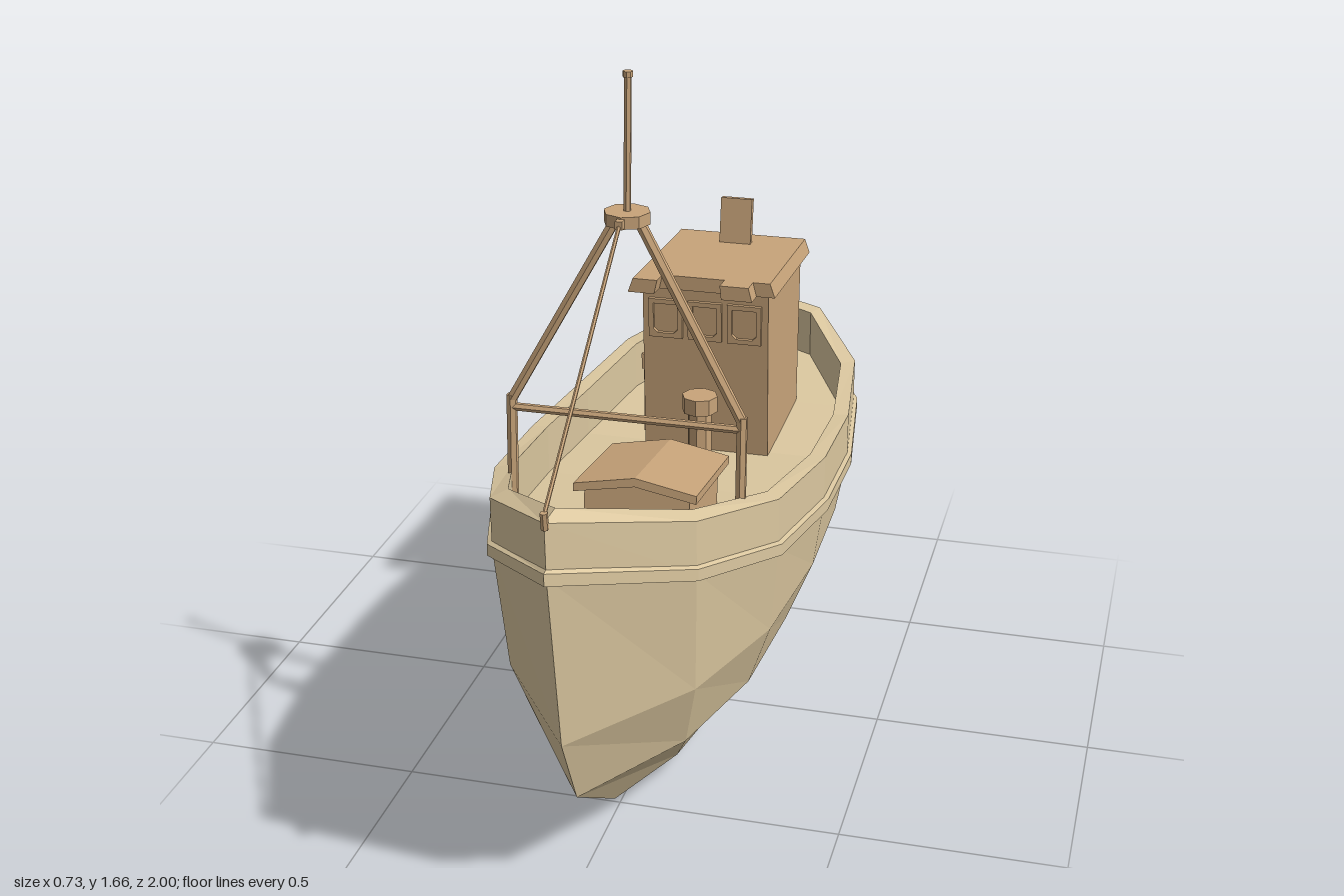
import * as THREE from 'three';

const mat = (color) => new THREE.MeshStandardMaterial({ color, flatShading: true });

// Stations from bow to stern: [z, half width as a share of the beam, sheer height]
const STATIONS = [
  [0.99, 0, 0.935], [0.68, 0.62, 0.82], [0.36, 0.91, 0.735], [0.0, 1, 0.68],
  [-0.33, 0.985, 0.65], [-0.66, 0.86, 0.66], [-0.93, 0.45, 0.695], [-1.0, 0, 0.705],
];

// Closed ring round the boat: bow, +x side, stern, -x side
function ring(beam, zBow, zStern, height) {
  const side = STATIONS.map(([z, w, sheer]) => {
    const t = (z + 1) / 1.99;
    return [beam * w, height(sheer, t), zStern + (zBow - zStern) * t];
  });
  const mirrored = side.slice(1, -1).reverse().map(([x, y, z]) => [-x, y, z]);
  return side.concat(mirrored);
}

// Skin consecutive rings with flat faces
function skin(rings) {
  const pos = [];
  for (let r = 0; r + 1 < rings.length; r++) {
    const A = rings[r], B = rings[r + 1];
    for (let i = 0; i < A.length; i++) {
      const j = (i + 1) % A.length;
      pos.push(...A[i], ...B[i], ...B[j], ...A[i], ...B[j], ...A[j]);
    }
  }
  const g = new THREE.BufferGeometry();
  g.setAttribute('position', new THREE.Float32BufferAttribute(pos, 3));
  g.computeVertexNormals();
  return g;
}

const shapeOf = (pts) => new THREE.Shape(pts.map(([x, y]) => new THREE.Vector2(x, y)));
const extrude = (shape, depth) => new THREE.ExtrudeGeometry(shape, { depth, bevelEnabled: false });

export function createModel() {
  const model = new THREE.Group();
  const paint = mat(0xdcc8a0);
  const wood = mat(0xc8a47a);

  const add = (name, geometry, material = wood, p = [0, 0, 0], parent = model) => {
    const m = new THREE.Mesh(geometry, material);
    m.name = name;
    m.position.set(...p);
    parent.add(m);
    return m;
  };
  // Straight round bar between two points
  const bar = (name, a, b, r, parent = model) => {
    const A = new THREE.Vector3(...a), B = new THREE.Vector3(...b), d = B.clone().sub(A);
    const m = add(name, new THREE.CylinderGeometry(r, r, d.length(), 6), wood, [0, 0, 0], parent);
    m.position.copy(A).add(B).multiplyScalar(0.5);
    m.quaternion.setFromUnitVectors(new THREE.Vector3(0, 1, 0), d.normalize());
    return m;
  };

  // Hull: inner bulwark, cap, outer side, then down to the keel
  const lerp = THREE.MathUtils.lerp;
  const deckY = (s) => s - 0.12;
  const inner = ring(0.318, 0.92, -0.95, (s) => s);
  const deckEdge = ring(0.318, 0.92, -0.95, deckY);
  add('hull', skin([
    deckEdge,
    inner,
    ring(0.355, 0.99, -1, (s) => s),
    ring(0.355, 0.985, -0.995, (s) => s - 0.12),
    ring(0.332, 0.915, -0.93, () => 0.4),
    ring(0.272, 0.82, -0.83, (s, t) => lerp(0.285, 0.22, t)),
    ring(0.155, 0.54, -0.62, (s, t) => lerp(0.17, 0.04, t)),
    ring(0, 0.26, -0.35, (s, t) => lerp(0.07, 0.005, t)),
  ]), paint);
  add('deck', skin([ring(0, 0.92, -0.95, deckY), deckEdge]), paint);

  // Rubbing strake
  add('rubRail', skin([
    ring(0.35, 0.98, -0.99, (s) => s - 0.1),
    ring(0.366, 1, -1, (s) => s - 0.103),
    ring(0.366, 1, -1, (s) => s - 0.13),
    ring(0.35, 0.98, -0.99, (s) => s - 0.133),
  ]), paint);

  // Wheelhouse walls: side profile (z, y) extruded across
  const house = new THREE.Group();
  house.name = 'wheelhouse';
  model.add(house);
  const walls = extrude(shapeOf([[-0.645, 0.52], [-0.295, 0.52], [-0.275, 0.965], [-0.66, 0.945]]), 0.312);
  walls.rotateY(-Math.PI / 2).translate(0.156, 0, 0);
  add('wheelhouseWalls', walls, wood, [0, 0, 0], house);

  // Roof with notched front edge (x, -z), tapered towards its top and rising forward
  const roof = extrude(shapeOf([
    [-0.175, 0.21], [-0.11, 0.21], [-0.11, 0.26], [0.055, 0.26], [0.055, 0.21],
    [0.13, 0.21], [0.13, 0.26], [0.175, 0.26], [0.175, 0.68], [-0.175, 0.68],
  ]), 0.035);
  roof.rotateX(-Math.PI / 2);
  const rp = roof.attributes.position;
  for (let i = 0; i < rp.count; i++) {
    const top = rp.getY(i) > 0.01;
    if (top) rp.setX(i, rp.getX(i) * 0.93);
    rp.setY(i, rp.getY(i) + 0.95 + (rp.getZ(i) + 0.45) * 0.055);
  }
  roof.computeVertexNormals();
  add('wheelhouseRoof', roof, wood, [0, 0, 0], house);

  // Three framed front windows
  for (const x of [-0.098, 0, 0.098]) {
    const frame = shapeOf([[-0.042, -0.05], [0.042, -0.05], [0.042, 0.05], [-0.042, 0.05]]);
    frame.holes.push(new THREE.Path([[-0.03, -0.028], [-0.03, 0.038], [0.03, 0.038], [0.03, -0.028],
      [0.02, -0.038], [-0.02, -0.038]].map(([a, b]) => new THREE.Vector2(a, b))));
    add('windowFrame', extrude(frame, 0.01), wood, [x, 0.88, -0.28], house).rotation.x = 0.0465;
  }

  // Side door with handle
  add('door', new THREE.BoxGeometry(0.012, 0.36, 0.13), wood, [-0.157, 0.74, -0.375], house);
  add('doorHandle', new THREE.BoxGeometry(0.012, 0.04, 0.012), wood, [-0.167, 0.74, -0.33], house);

  // Flat funnel on the roof, leaning aft
  add('funnel', new THREE.BoxGeometry(0.08, 0.14, 0.02), wood, [0, 1.02, -0.603], house).rotation.x = -0.14;

  // Bollard in front of the wheelhouse
  add('bollardPost', new THREE.CylinderGeometry(0.03, 0.03, 0.16, 8), wood, [0, 0.6, -0.228]);
  add('bollardCap', new THREE.CylinderGeometry(0.044, 0.044, 0.04, 8), wood, [0, 0.686, -0.228]);

  // Cargo hatch with a shallow gabled lid, tilted with the deck
  const hatch = new THREE.Group();
  hatch.name = 'hatch';
  hatch.position.set(0, 0.727, 0.205);
  hatch.rotation.x = -0.12;
  model.add(hatch);
  const coaming = shapeOf([[-0.12, -0.18], [0.12, -0.18], [0.12, -0.035], [0, -0.01], [-0.12, -0.035]]);
  const lid = shapeOf([[-0.14, -0.045], [0, -0.02], [0.14, -0.045], [0.14, -0.026], [0, 0], [-0.14, -0.026]]);
  add('hatchCoaming', extrude(coaming, 0.27), wood, [0, 0, -0.135], hatch);
  add('hatchLid', extrude(lid, 0.31), wood, [0, 0, -0.155], hatch);

  // A-frame mast
  const mast = new THREE.Group();
  mast.name = 'mast';
  model.add(mast);
  for (const s of [-1, 1]) {
    bar('mastLeg', [s * 0.254, 0.6, 0.437], [s * 0.254, 0.945, 0.425], 0.012, mast);
    bar('mastStrut', [s * 0.254, 0.935, 0.425], [s * 0.025, 1.35, 0.398], 0.012, mast);
  }
  bar('mastCrossbar', [-0.254, 0.918, 0.427], [0.254, 0.918, 0.427], 0.009, mast);
  add('mastPlatform', new THREE.CylinderGeometry(0.05, 0.05, 0.026, 8), wood, [0, 1.358, 0.4], mast);
  bar('mastPole', [0, 1.35, 0.4], [0, 1.655, 0.385], 0.008, mast);
  add('mastCap', new THREE.CylinderGeometry(0.011, 0.011, 0.012, 8), wood, [0, 1.655, 0.385], mast);

  // Forestay and its fittings
  bar('forestay', [0, 1.36, 0.455], [0, 0.95, 0.99], 0.0045);
  add('stayLug', new THREE.BoxGeometry(0.016, 0.018, 0.03), wood, [0, 1.358, 0.45]);
  bar('stemFitting', [0, 0.92, 0.985], [0, 0.957, 0.99], 0.008);

  return model;
}
